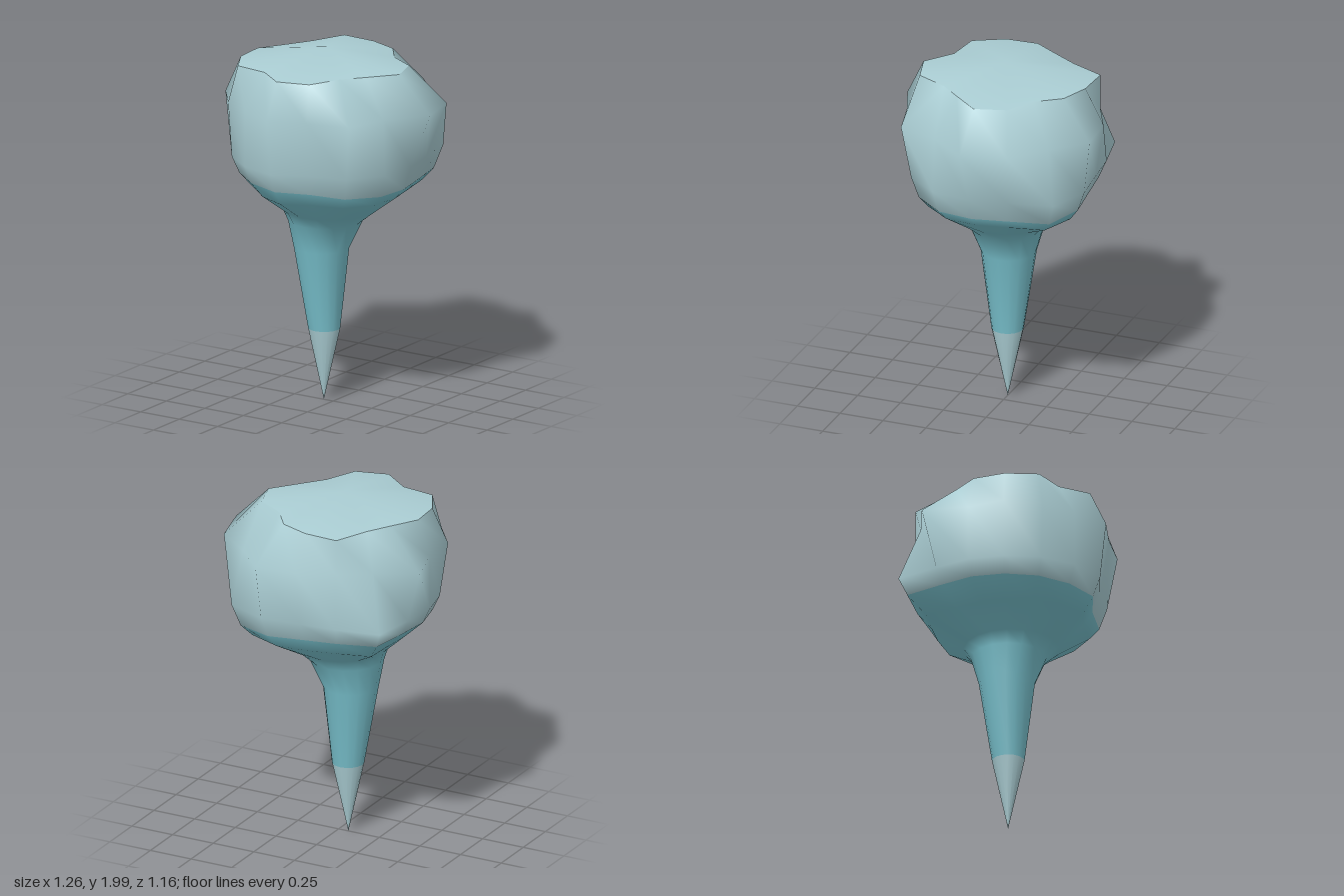
import * as THREE from 'three';

const SIDES = 16;
const pale = new THREE.MeshStandardMaterial({ name: 'paleBlueGrey', color: 0xaacdd3 });
const teal = new THREE.MeshStandardMaterial({ name: 'teal', color: 0x79c2ce });

// Uneven radii of the bulb, counted from +x towards +z
const rim = [.475, .384, .368, .47, .485, .40, .487, .47, .445, .384, .393, .507, .46, .433, .375, .457];
const belly = [.675, .555, .62, .54, .58, .53, .54, .555, .515, .635, .507, .507, .565, .63, .58, .663];
const waist = [.55, .57, .56, .49, .545, .53, .52, .51, .515, .53, .635, .54, .52, .59, .645, .55];

// Cross-sections from top to bottom: height, centre x, radius rule, height tilt along x
const sections = [
  { y: 1.92, cx: -.045, r: j => rim[j] },
  { y: 1.72, cx: -.045, r: j => belly[j] },
  { y: 1.41, cx: -.045, r: j => waist[j] },
  { y: 1.30, cx: -.045, r: j => waist[j] * .92, tilt: -.045 },
  { y: 1.22, cx: -.045, r: (j, c) => waist[j] * .82 - .06 * Math.max(0, -c) },
  { y: 1.10, cx: -.045, r: (j, c) => .26 + .03 * c },
  { y: 1.03, cx: -.05, r: () => .205 },
  { y: .87, cx: -.075, r: () => .152 },
  { y: .415, cx: -.058, r: () => .088 },
  { y: .01, cx: -.06, r: () => 0 },
];

function ringPoint(s, j) {
  const a = (j / SIDES) * Math.PI * 2, c = Math.cos(a);
  const r = s.r(j, c), x = s.cx + r * c;
  return [x, s.y + (s.tilt || 0) * x, r * Math.sin(a)];
}

function makeGeometry(points, index) {
  const g = new THREE.BufferGeometry();
  g.setAttribute('position', new THREE.Float32BufferAttribute(points.flat(), 3));
  g.setIndex(index);
  g.computeVertexNormals();
  return g;
}

// Bulb, stem and tip as one smooth skin, coloured by bands of sections
function makeBody() {
  const points = [], index = [];
  for (const s of sections) for (let j = 0; j < SIDES; j++) points.push(ringPoint(s, j));
  for (let i = 0; i < sections.length - 1; i++) {
    for (let j = 0; j < SIDES; j++) {
      const k = (j + 1) % SIDES;
      const a = i * SIDES + j, b = i * SIDES + k;
      index.push(a, b, a + SIDES, b, b + SIDES, a + SIDES);
    }
  }
  const g = makeGeometry(points, index);
  const band = SIDES * 6;
  g.addGroup(0, 3 * band, 0);
  g.addGroup(3 * band, 5 * band, 1);
  g.addGroup(8 * band, band, 0);
  return new THREE.Mesh(g, [pale, teal]);
}

// Shallow cone closing the top, with its own normals for a sharp rim
function makeCap() {
  const points = [[-.045, 2, 0]], index = [];
  for (let j = 0; j < SIDES; j++) {
    points.push(ringPoint(sections[0], j));
    index.push(0, ((j + 1) % SIDES) + 1, j + 1);
  }
  return new THREE.Mesh(makeGeometry(points, index), pale);
}

export function createModel() {
  const model = new THREE.Group();
  model.name = 'taperedBulb';
  const body = makeBody();
  body.name = 'bulbAndStem';
  const cap = makeCap();
  cap.name = 'topCap';
  model.add(body, cap);
  return model;
}
